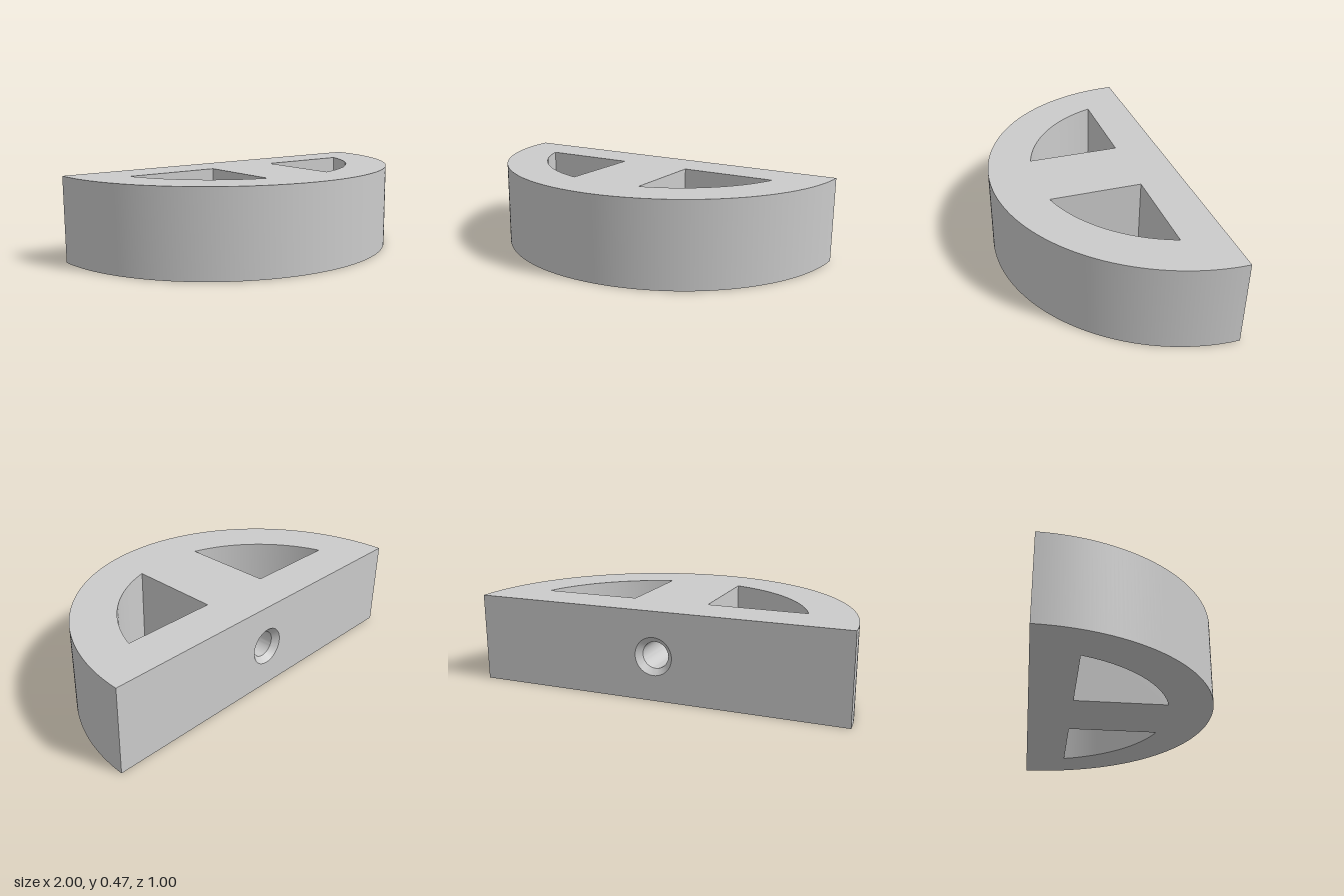
import * as THREE from 'three';
import { toCreasedNormals } from 'three/addons/utils/BufferGeometryUtils.js';

const H = 0.47, R = 1, BACK = -0.5;          // height, outer radius, flat back plane
const RIM = 0.765, STEM = 0.205, BAR = 0.235; // window arc radius, stem half width, back bar depth
const BORE = 0.07, SINK = 0.1, SINK_DEPTH = 0.03, BORE_DEPTH = 0.6;

// Quarter-like window between stem, back bar and curved rim
function windowPath(side) {
  const a0 = Math.asin(BAR / RIM), a1 = Math.acos(STEM / RIM), n = 24;
  const pts = [new THREE.Vector2(side * STEM, BAR)];
  for (let i = 0; i <= n; i++) {
    const a = a0 + (a1 - a0) * i / n;
    pts.push(new THREE.Vector2(side * RIM * Math.cos(a), RIM * Math.sin(a)));
  }
  return new THREE.Path(pts);
}

// Remove the triangles lying on the flat back so a bored plate can replace them
function withoutBack(geo) {
  const p = geo.attributes.position, kept = [];
  for (let i = 0; i < p.count; i += 3) {
    if ([0, 1, 2].every(k => Math.abs(p.getZ(i + k) - BACK) < 1e-5)) continue;
    for (let k = 0; k < 3; k++) kept.push(p.getX(i + k), p.getY(i + k), p.getZ(i + k));
  }
  const out = new THREE.BufferGeometry();
  out.setAttribute('position', new THREE.Float32BufferAttribute(kept, 3));
  return out;
}

export function createModel() {
  const group = new THREE.Group();
  const material = new THREE.MeshStandardMaterial({ color: 0xcccccc });
  const add = (name, geo) => {
    const mesh = new THREE.Mesh(geo, material);
    mesh.name = name;
    group.add(mesh);
  };

  // Half-disc body with two windows
  const half = new THREE.Shape();
  half.absarc(0, 0, R, 0, Math.PI, false);
  half.closePath();
  half.holes.push(windowPath(1), windowPath(-1));
  const body = new THREE.ExtrudeGeometry(half, { depth: H, bevelEnabled: false, curveSegments: 72 });
  body.rotateX(Math.PI / 2).translate(0, H, BACK);
  add('halfDiscBody', toCreasedNormals(withoutBack(body), 0.4));

  // Flat back wall with the screw hole opening
  const wall = new THREE.Shape([[-R, 0], [R, 0], [R, H], [-R, H]].map(p => new THREE.Vector2(...p)));
  wall.holes.push(new THREE.Path().absarc(0, H / 2, SINK, 0, Math.PI * 2, true));
  add('backWall', new THREE.ShapeGeometry(wall, 24).rotateY(Math.PI).translate(0, 0, BACK));

  // Countersunk blind bore running into the stem
  const profile = [[0, BORE_DEPTH], [BORE, BORE_DEPTH], [BORE, SINK_DEPTH], [SINK, 0]]
    .map(p => new THREE.Vector2(...p));
  const bore = new THREE.LatheGeometry(profile, 48).rotateX(Math.PI / 2).translate(0, H / 2, BACK);
  add('screwBore', toCreasedNormals(bore, 0.4));

  return group;
}
